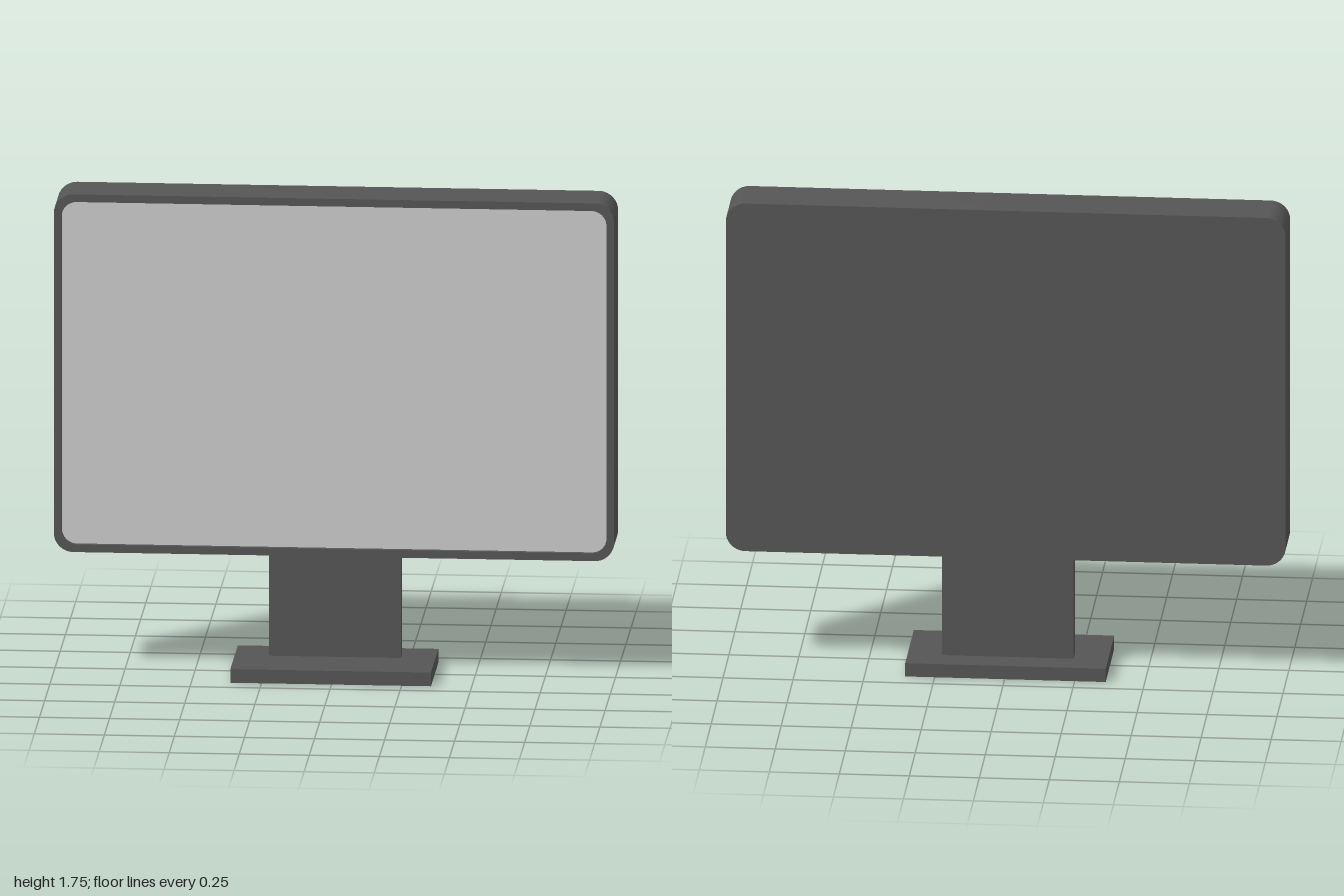
import * as THREE from 'three';
import { toCreasedNormals } from 'three/addons/utils/BufferGeometryUtils.js';

const dark = new THREE.MeshStandardMaterial({ color: 0x555555 });
const grey = new THREE.MeshStandardMaterial({ color: 0xcccccc });

const WIDTH = 2, HEIGHT = 1.31, CENTRE_Y = 1.094;
const RADIUS = 0.07, RIM = 0.028;
const BACK_Z = -0.133, FRONT_Z = 0.058, RECESS = 0.018;

// Rounded rectangle, inset evenly from the housing outline
function outline(inset, PathType = THREE.Shape) {
  const x = WIDTH / 2 - inset, y = HEIGHT / 2 - inset, r = RADIUS - inset * 0.6;
  const path = new PathType();
  path.absarc(x - r, y - r, r, 0, Math.PI / 2);
  path.absarc(-x + r, y - r, r, Math.PI / 2, Math.PI);
  path.absarc(-x + r, -y + r, r, Math.PI, Math.PI * 1.5);
  path.absarc(x - r, -y + r, r, Math.PI * 1.5, Math.PI * 2);
  path.closePath();
  return path;
}

function addPart(group, name, geometry, material, x, y, z) {
  const mesh = new THREE.Mesh(geometry, material);
  mesh.name = name;
  mesh.position.set(x, y, z);
  group.add(mesh);
}

function slab(shape, depth) {
  const geometry = new THREE.ExtrudeGeometry(shape, { depth, bevelEnabled: false, curveSegments: 8 });
  return toCreasedNormals(geometry, Math.PI / 6);
}

export function createModel() {
  const model = new THREE.Group();
  model.name = 'monitor';

  // Housing, with a raised rim around the recessed screen
  const screenZ = FRONT_Z - RECESS;
  addPart(model, 'housing', slab(outline(0), screenZ - BACK_Z), dark, 0, CENTRE_Y, BACK_Z);
  const rim = outline(0);
  rim.holes.push(outline(RIM, THREE.Path));
  addPart(model, 'rim', slab(rim, RECESS), dark, 0, CENTRE_Y, screenZ);
  addPart(model, 'screen', new THREE.ShapeGeometry(outline(RIM), 8), grey, 0, CENTRE_Y, screenZ + 0.002);

  // Stand: flat neck on a rectangular foot
  addPart(model, 'neck', new THREE.BoxGeometry(0.47, 0.41, 0.05), dark, -0.003, 0.255, -0.057);
  addPart(model, 'foot', new THREE.BoxGeometry(0.716, 0.05, 0.36), dark, -0.003, 0.025, 0);

  return model;
}
